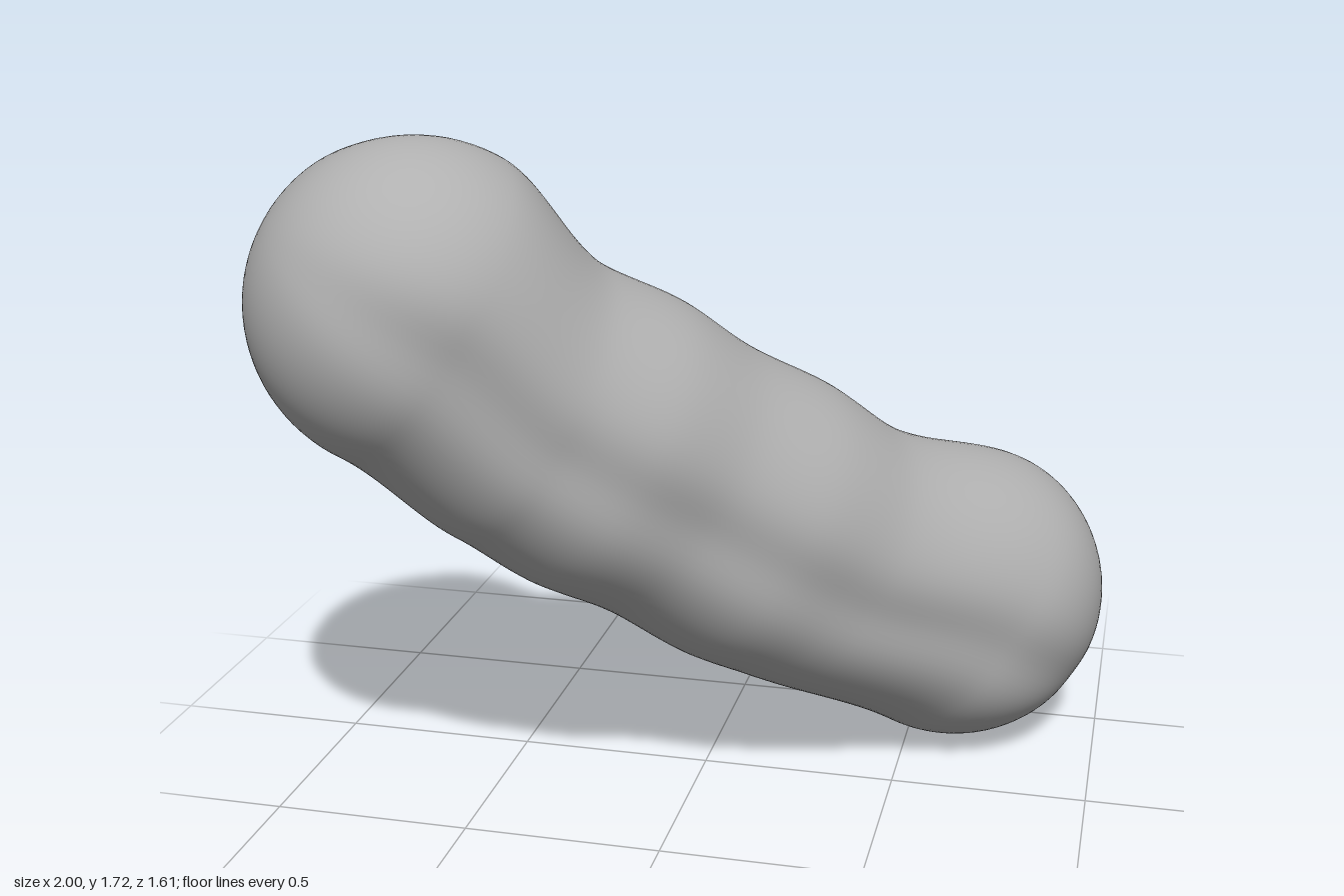
import * as THREE from 'three';
import { mergeVertices } from 'three/addons/utils/BufferGeometryUtils.js';

// Eased interpolation through [position, value] keys.
function eased(keys, s) {
  if (s <= keys[0][0]) return keys[0][1];
  for (let i = 1; i < keys.length; i++) {
    const [s0, v0] = keys[i - 1];
    const [s1, v1] = keys[i];
    if (s <= s1) return THREE.MathUtils.lerp(v0, v1, THREE.MathUtils.smoothstep(s, s0, s1));
  }
  return keys[keys.length - 1][1];
}

// Radius along the body: a ball at each end and two gentle swellings between.
const RADIUS = [[-0.5, 0.402], [-0.32, 0.377], [-0.18, 0.396], [-0.05, 0.38], [0.09, 0.394], [0.24, 0.375], [0.5, 0.402]];
// How far the middle sags away from the straight axis.
const SAG = [[-0.5, 0], [-0.31, 1], [0.2, 1], [0.5, 0]];

export function createModel() {
  const group = new THREE.Group();
  group.name = 'lobedSausage';
  const grey = new THREE.MeshStandardMaterial({ color: 0xb0b0b0 });
  grey.name = 'grey';

  // Slanted axis from the upper front end to the lower back end.
  const axis = new THREE.Vector3(1.2, -0.915, -0.812);
  const length = axis.length();
  const turn = new THREE.Quaternion().setFromUnitVectors(new THREE.Vector3(0, 1, 0), axis.clone().normalize());
  const back = turn.clone().invert();
  const sag = new THREE.Vector3(-0.005, -0.074, 0.036);

  // Three shallow grooves run lengthwise: on top, at the front and at the back.
  const grooves = [[0.2, 0.85, -0.49, 0.06], [0.59, -0.22, 0.77, 0.06], [-0.79, -0.35, -0.5, 0.04]].map(([x, y, z, depth]) => {
    const d = new THREE.Vector3(x, y, z).applyQuaternion(back);
    return { angle: Math.atan2(d.z, d.x), depth };
  });

  let geometry = new THREE.CapsuleGeometry(0.4, length, 24, 96, 80);
  geometry.deleteAttribute('uv');
  geometry.deleteAttribute('normal');
  geometry = mergeVertices(geometry, 1e-5);

  const pos = geometry.attributes.position;
  const p = new THREE.Vector3();
  for (let i = 0; i < pos.count; i++) {
    p.fromBufferAttribute(pos, i);
    const s = p.y / length;
    const spread = Math.min(1, Math.hypot(p.x, p.z) / 0.4);
    const angle = Math.atan2(p.z, p.x);
    let scale = eased(RADIUS, s) / 0.4;
    for (const g of grooves) {
      const off = Math.atan2(Math.sin(angle - g.angle), Math.cos(angle - g.angle));
      scale -= g.depth * spread * spread * Math.exp(-((off / 0.25) ** 2));
    }
    p.x *= scale;
    p.z *= scale;
    p.applyQuaternion(turn).addScaledVector(sag, eased(SAG, s));
    pos.setXYZ(i, p.x, p.y, p.z);
  }
  geometry.computeVertexNormals();

  // Stand on the ground, centred.
  geometry.computeBoundingBox();
  const box = geometry.boundingBox;
  const mid = box.getCenter(new THREE.Vector3());
  geometry.translate(-mid.x, -box.min.y, -mid.z);

  const body = new THREE.Mesh(geometry, grey);
  body.name = 'body';
  group.add(body);
  return group;
}
